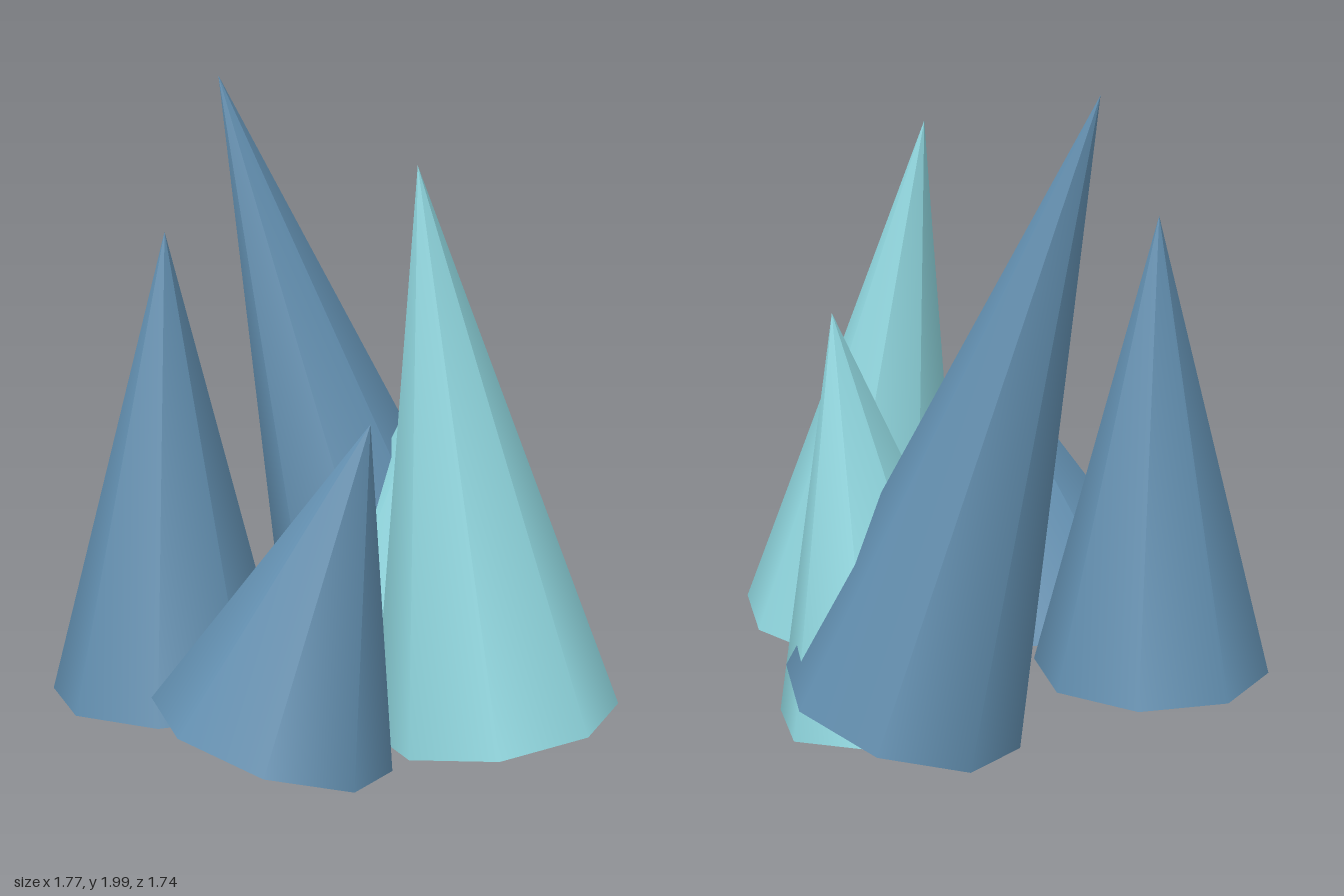
import * as THREE from 'three';

const BLUE = 0x628fb0;
const TEAL = 0x8fd6de;
const RADIUS = 0.375;

// name, colour, z, base centre [x, y], tip [x, y]
const CONES = [
  ['leftCone', BLUE, 0.04, [-0.51, 0.1], [-0.51, 1.56]],
  ['rightCone', TEAL, 0.297, [0.51, 0.105], [0.26, 1.79]],
  ['frontCone', BLUE, 0.493, [-0.16, 0.116], [0.13, 1.062]],
  ['tallBackCone', BLUE, -0.495, [0.188, 0.14], [-0.388, 2]],
  ['smallBackCone', TEAL, -0.372, [0.229, 0.105], [0.413, 1.32]],
];

export function createModel() {
  const group = new THREE.Group();
  group.name = 'coneCluster';

  // Eight-sided cones, each leaning sideways about its base centre
  for (const [name, color, z, base, tip] of CONES) {
    const dx = tip[0] - base[0];
    const dy = tip[1] - base[1];
    const height = Math.hypot(dx, dy);
    const geometry = new THREE.ConeGeometry(RADIUS, height, 8);
    geometry.translate(0, height / 2, 0);
    const cone = new THREE.Mesh(geometry, new THREE.MeshStandardMaterial({ color }));
    cone.name = name;
    cone.position.set(base[0], base[1], z);
    cone.rotation.z = -Math.atan2(dx, dy);
    group.add(cone);
  }
  return group;
}
